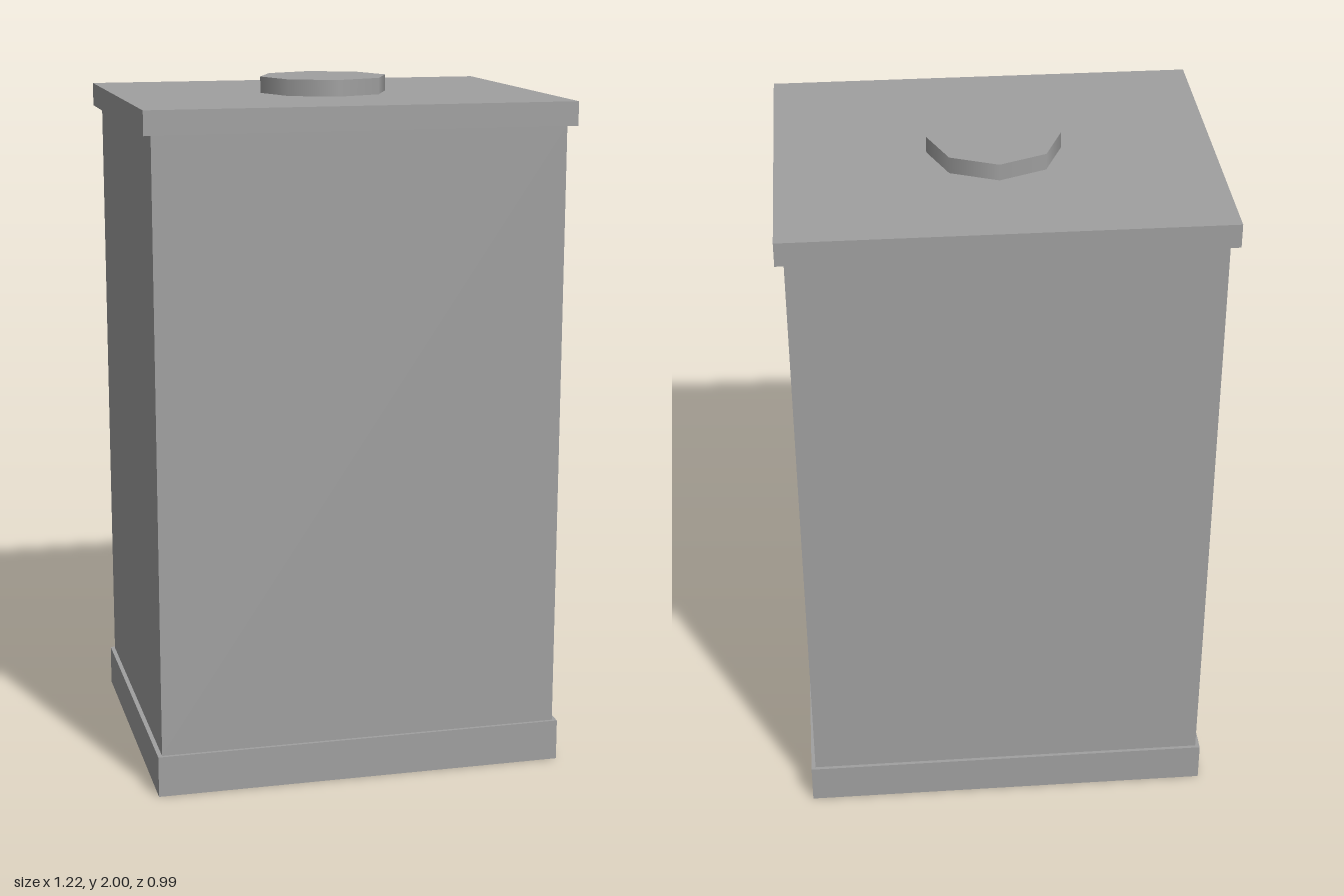
import * as THREE from 'three';

export function createModel() {
  const model = new THREE.Group();
  model.name = 'cabinet';
  const grey = new THREE.MeshStandardMaterial({ color: 0xa0a0a0 });
  grey.name = 'plain grey';

  const add = (name, geometry, bottom, height) => {
    const mesh = new THREE.Mesh(geometry, grey);
    mesh.name = name;
    mesh.position.y = bottom + height / 2;
    model.add(mesh);
  };
  const slab = (name, width, depth, bottom, top) =>
    add(name, new THREE.BoxGeometry(width, top - bottom, depth), bottom, top - bottom);

  // Stacked box sections: plinth, main body and overhanging lid
  slab('base', 1.2, 0.96, 0, 0.12);
  slab('body', 1.175, 0.94, 0.12, 1.885);
  slab('lid', 1.222, 0.988, 1.885, 1.953);

  // Low eight-sided vent cap, smooth round its rim
  add('ventCap', new THREE.CylinderGeometry(0.188, 0.188, 0.047, 8), 1.953, 0.047);

  return model;
}
